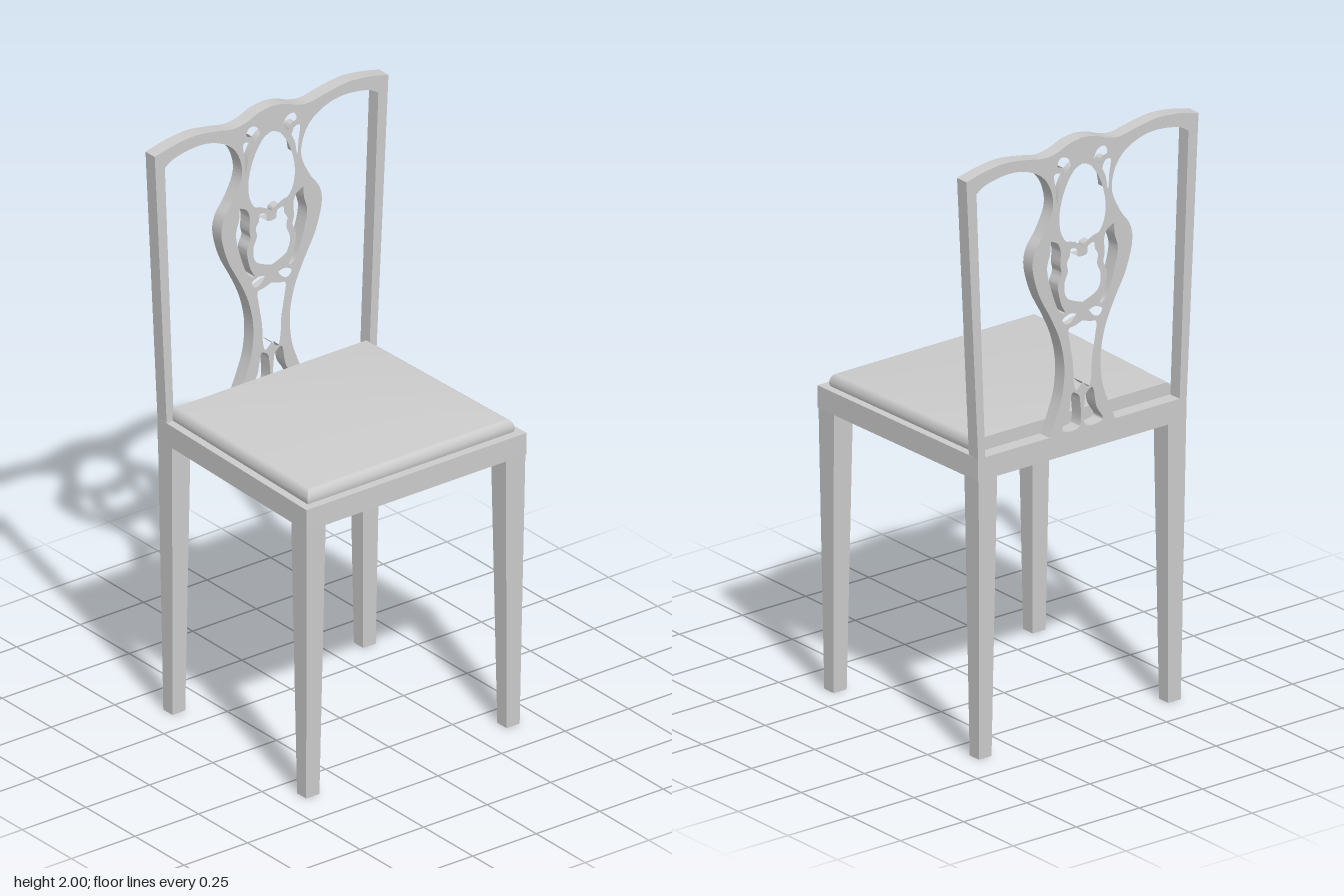
import * as THREE from 'three';
import { toCreasedNormals } from 'three/addons/utils/BufferGeometryUtils.js';

const material = new THREE.MeshStandardMaterial({ color: 0xcccccc });

function mesh(name, geometry) {
  const m = new THREE.Mesh(toCreasedNormals(geometry, 0.6), material);
  m.name = name;
  return m;
}

// Smooth curve through a few points
const smooth = (pts, n = 6) =>
  new THREE.SplineCurve(pts.map(p => new THREE.Vector2(...p))).getPoints((pts.length - 1) * n);

const vecs = pts => pts.map(p => new THREE.Vector2(...p));
const flip = pts => pts.map(p => new THREE.Vector2(-p.x, p.y)).reverse();

// Half outline (u >= 0, both ends on the centre line or open) closed by its mirror image
const mirrored = half => [...half, ...flip(half.filter(p => Math.abs(p.x) > 1e-5))];

// Closed smooth loop
const loop = pts => smooth([...pts, pts[0]]);

// Solid from four-cornered rings stacked upwards; corners run anticlockwise seen from above
function loft(rings) {
  const pos = [];
  const quad = (a, b, c, d) => pos.push(...a, ...b, ...c, ...a, ...c, ...d);
  for (let i = 0; i < rings.length - 1; i++) {
    for (let k = 0; k < 4; k++) {
      const n = (k + 1) % 4;
      quad(rings[i][k], rings[i][n], rings[i + 1][n], rings[i + 1][k]);
    }
  }
  quad(...[...rings[0]].reverse());
  quad(...rings[rings.length - 1]);
  const g = new THREE.BufferGeometry();
  g.setAttribute('position', new THREE.Float32BufferAttribute(pos, 3));
  return g;
}

const rect = (x0, x1, z0, z1, y) => [[x0, y, z1], [x1, y, z1], [x1, y, z0], [x0, y, z0]];

function createBack() {
  // Posts, wavy crest and splat as one outline
  const half = [
    ...smooth([[0, 2], [0.05, 1.992], [0.1, 1.973], [0.15, 1.966], [0.22, 1.979],
      [0.3, 1.99], [0.38, 1.983], [0.46, 1.965]]),
    ...vecs([[0.413, 1.02], [0.385, 1.02]]),
    ...smooth([[0.42, 1.915], [0.38, 1.937], [0.3, 1.95], [0.23, 1.942], [0.165, 1.91],
      [0.128, 1.86], [0.117, 1.79], [0.15, 1.715], [0.188, 1.66], [0.197, 1.6], [0.172, 1.51],
      [0.125, 1.42], [0.09, 1.34], [0.072, 1.25], [0.078, 1.16], [0.1, 1.09], [0.13, 1.02]])
  ];
  const shape = new THREE.Shape(mirrored(half));

  // Openings on the centre line
  const centre = [
    // upper oval
    smooth([[0, 1.912], [0.035, 1.895], [0.07, 1.84], [0.09, 1.77], [0.088, 1.71],
      [0.068, 1.668], [0.045, 1.66], [0.02, 1.648], [0, 1.635]]),
    // lyre with scrolled ends
    smooth([[0, 1.6], [0.018, 1.604], [0.022, 1.628], [0.045, 1.635], [0.05, 1.612],
      [0.062, 1.59], [0.058, 1.56], [0.072, 1.52], [0.06, 1.472], [0, 1.445]]),
    // long lower opening
    smooth([[0, 1.383], [0.03, 1.373], [0.055, 1.365], [0.05, 1.32], [0.038, 1.25],
      [0.035, 1.19], [0.025, 1.155], [0, 1.175]])
  ];
  for (const h of centre) shape.holes.push(new THREE.Path(mirrored(h)));

  // Openings in pairs
  const pairs = [
    // crescents beside the lyre
    [[0.125, 1.68], [0.098, 1.665], [0.086, 1.635], [0.088, 1.59], [0.083, 1.56], [0.097, 1.52],
      [0.085, 1.46], [0.068, 1.425], [0.095, 1.44], [0.125, 1.52], [0.14, 1.59], [0.128, 1.64]],
    // under the lyre
    [[0.025, 1.412], [0.05, 1.418], [0.078, 1.405], [0.066, 1.385], [0.045, 1.389]],
    // under the crest
    [[0.045, 1.918], [0.06, 1.945], [0.088, 1.95], [0.098, 1.925], [0.075, 1.915], [0.066, 1.895]],
    [[0.078, 1.875], [0.09, 1.9], [0.112, 1.898], [0.106, 1.85], [0.101, 1.8], [0.092, 1.845]],
    // beside the foot stem
    [[0.01, 1.125], [0.01, 1.03], [0.08, 1.03], [0.055, 1.08], [0.042, 1.145], [0.02, 1.14]]
  ];
  for (const p of pairs) {
    const pts = loop(p);
    shape.holes.push(new THREE.Path(pts), new THREE.Path(flip(pts)));
  }

  const g = new THREE.ExtrudeGeometry(shape, { depth: 0.047, bevelEnabled: false });
  g.rotateY(-Math.PI / 2).translate(-0.348, 0, 0);
  return mesh('backrest', g);
}

function createFrame() {
  // Tapered seat rails around an open middle
  const shape = new THREE.Shape(vecs([[-0.395, -0.413], [0.39, -0.433], [0.39, 0.433], [-0.395, 0.413]]));
  shape.holes.push(new THREE.Path(vecs([[-0.335, -0.353], [-0.335, 0.353], [0.33, 0.373], [0.33, -0.373]])));
  const g = new THREE.ExtrudeGeometry(shape, { depth: 0.075, bevelEnabled: false });
  g.rotateX(-Math.PI / 2).translate(0, 0.945, 0);
  return mesh('seatFrame', g);
}

function createCushion() {
  // Front and side edges rolled over, flat at the back
  const ring = (inset, y) => [
    [-0.348, y, 0.39 - inset], [0.363 - inset, y, 0.408 - inset],
    [0.363 - inset, y, -0.408 + inset], [-0.348, y, -0.39 + inset]
  ];
  const rings = [ring(0.003, 1.018), ring(0, 1.03)];
  for (let i = 1; i <= 6; i++) {
    const a = (i / 6) * Math.PI / 2;
    rings.push(ring(0.022 * (1 - Math.cos(a)), 1.03 + 0.034 * Math.sin(a)));
  }
  return mesh('seatCushion', loft(rings));
}

export function createModel() {
  const group = new THREE.Group();
  group.name = 'chair';
  group.add(createBack(), createFrame(), createCushion());

  // Tapered square legs
  for (const s of [1, -1]) {
    const side = s > 0 ? 'Left' : 'Right';
    const leg = (x0, x1, z0, z1, y) =>
      s > 0 ? rect(x0, x1, z0, z1, y) : rect(x0, x1, -z1, -z0, y);
    group.add(
      mesh('frontLeg' + side, loft([leg(0.325, 0.372, 0.368, 0.42, 0), leg(0.31, 0.387, 0.355, 0.431, 0.946)])),
      mesh('backLeg' + side, loft([leg(-0.382, -0.335, 0.35, 0.4, 0), leg(-0.395, -0.323, 0.338, 0.411, 0.946)]))
    );
  }
  return group;
}
